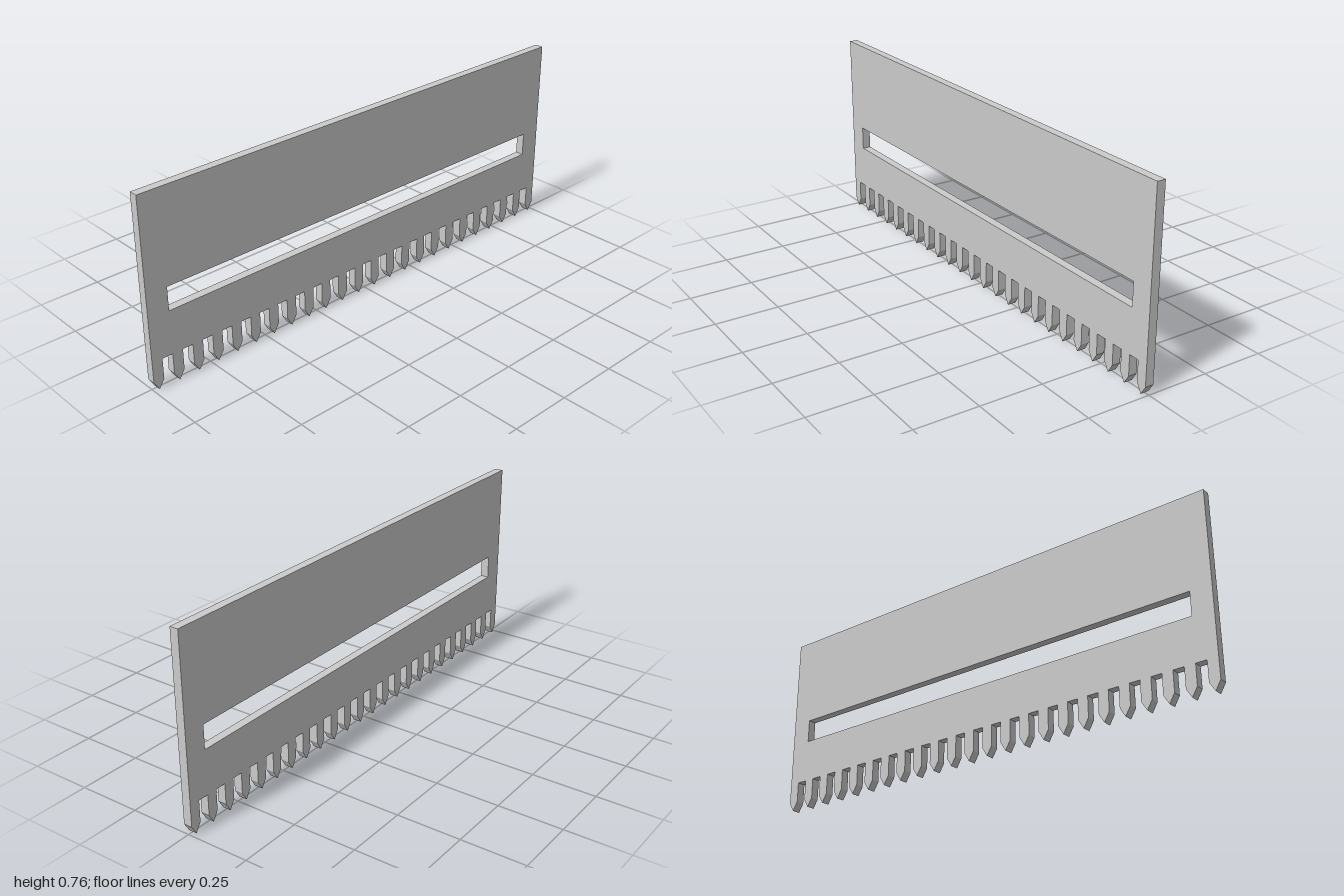
import * as THREE from 'three';

const TEETH = 24;
const W = 2 / (2 * TEETH - 1); // width of a tooth and of a gap
const TOP = 0.757, ROOT = 0.117, SHOULDER = 0.035;
const THICK = 0.034;

export function createModel() {
  const group = new THREE.Group();
  group.name = 'comb';

  // Plate outline, with pointed teeth along the lower edge
  const outline = new THREE.Shape();
  outline.moveTo(1, TOP);
  outline.lineTo(-1, TOP);
  for (let i = 0; i < TEETH; i++) {
    const a = -1 + i * 2 * W, b = a + W;
    if (i > 0) outline.lineTo(a, ROOT);
    outline.lineTo(a, SHOULDER);
    outline.lineTo((a + b) / 2, 0);
    outline.lineTo(b, SHOULDER);
    if (i < TEETH - 1) outline.lineTo(b, ROOT);
  }
  outline.closePath();

  // Long rectangular slot
  const end = 1 - 2 * W, low = 0.291, high = 0.385;
  outline.holes.push(new THREE.Path([
    new THREE.Vector2(-end, low), new THREE.Vector2(-end, high),
    new THREE.Vector2(end, high), new THREE.Vector2(end, low),
  ]));

  // Extrude the thickness and turn the plate to run along z
  const geometry = new THREE.ExtrudeGeometry(outline, { depth: THICK, bevelEnabled: false });
  geometry.translate(0, 0, -THICK / 2);
  geometry.rotateY(-Math.PI / 2);

  const plate = new THREE.Mesh(
    geometry,
    new THREE.MeshStandardMaterial({ color: 0xcccccc, flatShading: true })
  );
  plate.name = 'toothedPlate';
  group.add(plate);
  return group;
}
